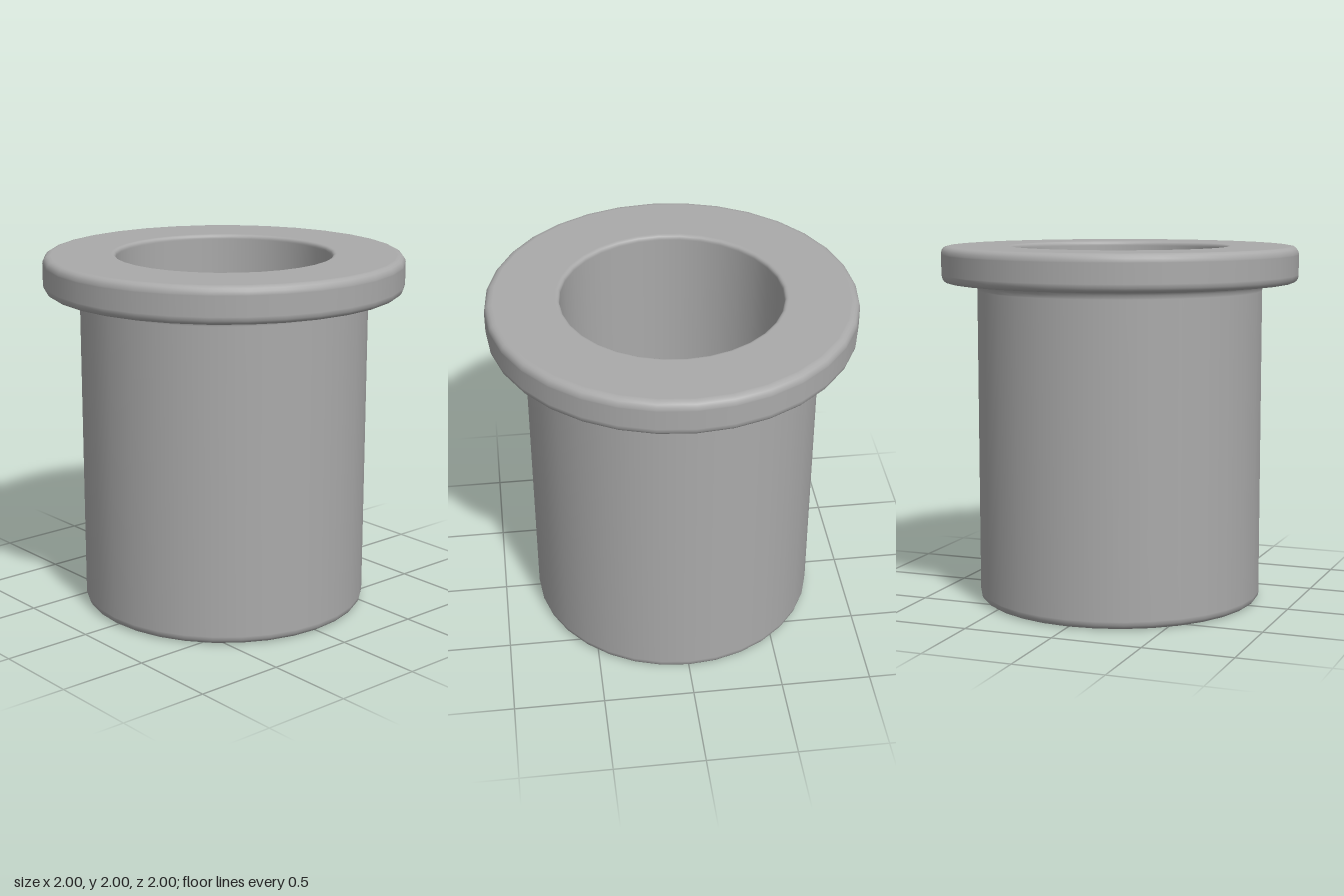
import * as THREE from 'three';

// Rounds each profile corner [radius, height, rounding] with a short arc.
function roundedProfile(start, corners, end) {
  const pts = [start];
  corners.forEach(([x, y, r], i) => {
    const c = new THREE.Vector2(x, y);
    const prev = i ? new THREE.Vector2(corners[i - 1][0], corners[i - 1][1]) : start;
    const next = i < corners.length - 1 ? new THREE.Vector2(corners[i + 1][0], corners[i + 1][1]) : end;
    const u = prev.clone().sub(c).normalize();
    const v = next.clone().sub(c).normalize();
    const at = (d, s) => c.clone().addScaledVector(d, s);
    const centre = at(u, r).addScaledVector(v, r);
    // support points keep the flat faces flat under smooth normals
    pts.push(at(u, r + 0.006));
    for (let k = 0; k <= 4; k++) {
      const a = (k / 4) * Math.PI / 2;
      pts.push(centre.clone().addScaledVector(v, -r * Math.cos(a)).addScaledVector(u, -r * Math.sin(a)));
    }
    pts.push(at(v, r + 0.006));
  });
  pts.push(end);
  return pts;
}

export function createModel() {
  const group = new THREE.Group();
  group.name = 'flangedBushing';
  const grey = new THREE.MeshStandardMaterial({ color: 0xaaaaaa });
  grey.name = 'grey metal';

  // Closed section: bore, sleeve, fillet under the flange, flange, bore
  const middle = new THREE.Vector2(0.6, 1);
  const profile = roundedProfile(middle, [
    [0.6, 0, 0.008],
    [0.8, 0, 0.04],
    [0.8, 1.8, 0.04],
    [1, 1.8, 0.04],
    [1, 2, 0.04],
    [0.6, 2, 0.02],
  ], middle.clone());

  const body = new THREE.Mesh(new THREE.LatheGeometry(profile, 32), grey);
  body.name = 'flangedSleeve';
  group.add(body);
  return group;
}
